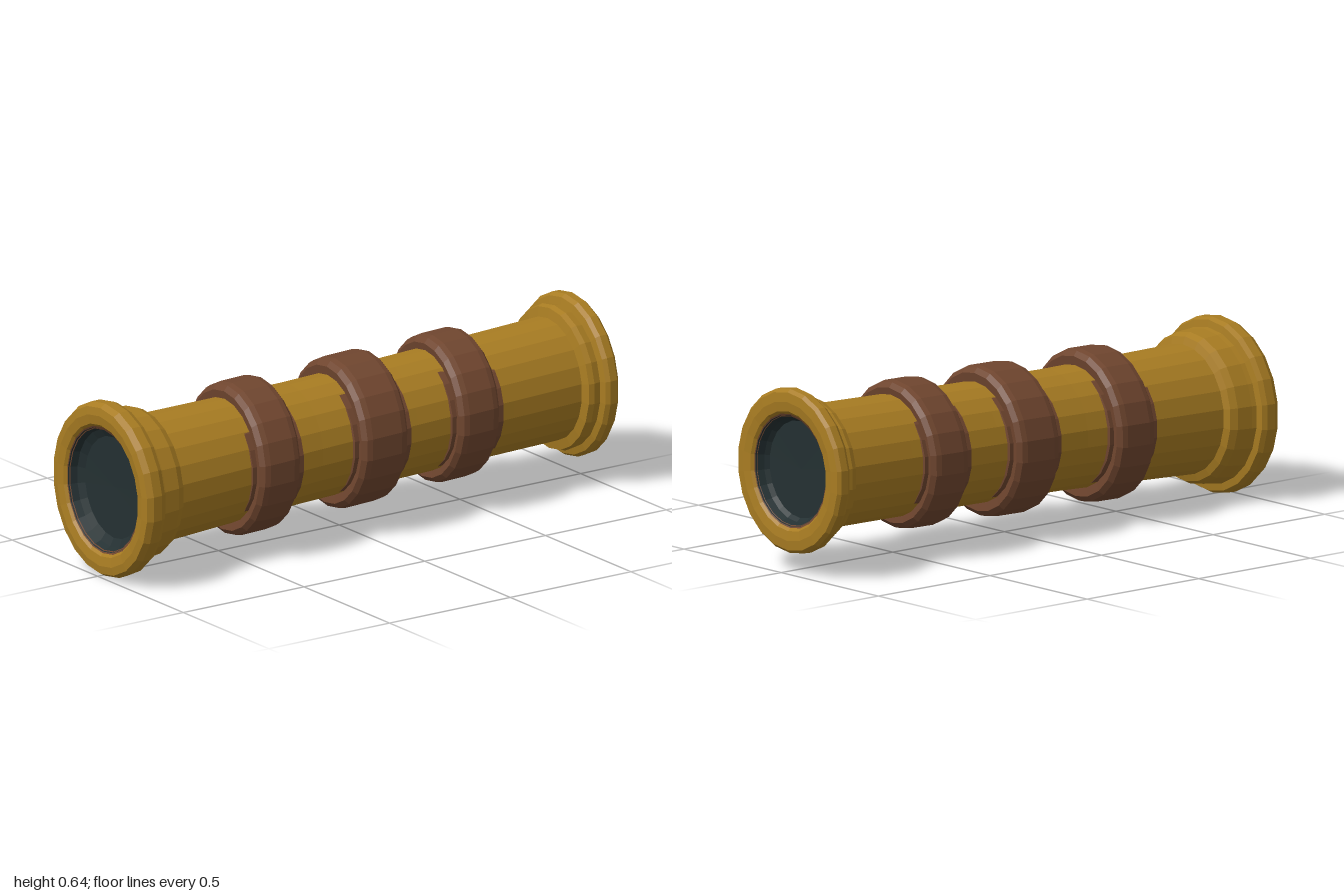
import * as THREE from 'three';

const SIDES = 22;

export function createModel() {
  const group = new THREE.Group();
  group.name = 'spyglass';

  const mat = (name, color) => {
    const m = new THREE.MeshStandardMaterial({ color });
    m.name = name;
    return m;
  };
  const brass = mat('brass', 0xa87c22);
  const leather = mat('leather', 0x70462f);
  const glass = mat('dark glass', 0x243032);

  // Turn a [radius, z] profile round the slightly tilted, oval axis.
  // Profiles run from back to front on the outside.
  function turned(name, profile, material, { sx = 0.94, sy = 1, shear = 0 } = {}) {
    const pts = profile.map(([r, z]) => new THREE.Vector2(r, z));
    let geo = new THREE.LatheGeometry(pts, SIDES);
    geo.rotateX(Math.PI / 2);
    const p = geo.attributes.position;
    for (let i = 0; i < p.count; i++) {
      const x = p.getX(i) * sx, y = p.getY(i) * sy, z = p.getZ(i);
      p.setXYZ(i, x - 0.01 + 0.02 * z, y + 0.335 - 0.025 * z, z + shear * (x - y * 0.5));
    }
    geo = geo.toNonIndexed();
    geo.computeVertexNormals(); // faceted look
    const mesh = new THREE.Mesh(geo, material);
    mesh.name = name;
    group.add(mesh);
  }

  // Barrel, narrowest in the middle
  turned('barrel', [
    [0.214, -0.92], [0.211, -0.6], [0.208, -0.2], [0.209, 0.2], [0.216, 0.5], [0.225, 0.85],
  ], brass);

  // Stepped front rim with a rounded lip and an open mouth
  turned('frontRim', [
    [0.222, 0.805], [0.25, 0.815], [0.262, 0.84], [0.267, 0.9], [0.27, 0.918],
    [0.295, 0.922], [0.304, 0.94], [0.305, 0.975], [0.293, 0.996], [0.265, 1.0],
    [0.232, 0.995], [0.222, 0.985],
  ], brass);
  turned('frontLensSeat', [[0.225, 0.987], [0.212, 0.98]], leather);
  turned('frontLens', [
    [0.217, 0.986], [0.205, 0.955], [0.178, 0.94], [0, 0.935],
  ], glass);

  // Rear rim
  turned('rearRim', [
    [0.197, -0.985], [0.207, -0.995], [0.24, -1.0], [0.273, -0.997], [0.284, -0.985],
    [0.285, -0.957], [0.275, -0.942], [0.25, -0.936], [0.254, -0.91], [0.248, -0.89], [0.212, -0.883],
  ], brass);
  turned('rearLensSeat', [[0.188, -0.98], [0.2, -0.987]], leather);
  turned('rearLens', [
    [0, -0.935], [0.168, -0.94], [0.18, -0.955], [0.192, -0.986],
  ], glass);

  // Three leather straps, each over a collar that shows at the sides of the barrel
  [
    ['rear', -0.53, -0.36, 0.256, 0.209],
    ['middle', -0.142, 0.05, 0.261, 0.209],
    ['front', 0.312, 0.482, 0.265, 0.213],
  ].forEach(([name, a, b, r, inner]) => {
    turned(name + 'Strap', [
      [inner - 0.01, a + 0.006], [r - 0.022, a], [r - 0.005, a + 0.015], [r, a + 0.035],
      [r, b - 0.035], [r - 0.005, b - 0.015], [r - 0.022, b], [inner - 0.01, b - 0.006],
    ], leather, { shear: 0.04 });
    turned(name + 'Collar', [
      [inner - 0.02, a - 0.028], [inner + 0.004, a - 0.022],
      [inner + 0.004, b + 0.022], [inner - 0.02, b + 0.028],
    ], leather, { sx: 0.965, sy: 0.955 });
  });

  return group;
}
